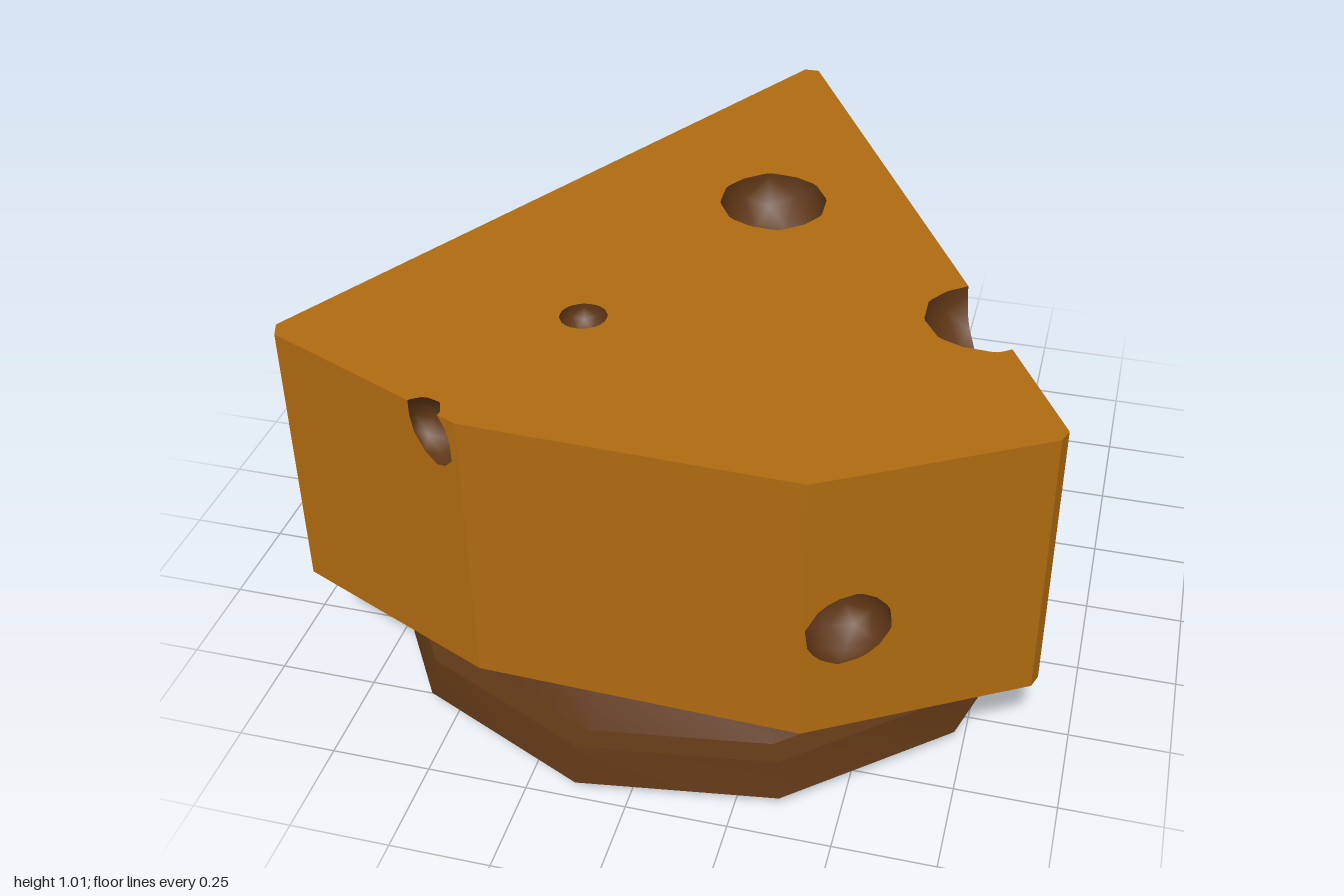
import * as THREE from 'three';
import { toCreasedNormals } from 'three/addons/utils/BufferGeometryUtils.js';

const V = (x, y, z) => new THREE.Vector3(x, y, z);
const BOTTOM = 0.3, TOP = 1.01;

// wedge outline seen from above, as x, z
const OUTLINE = [
  [-0.02, -1], [0.02, -1], [0.912, 0.635], [0.90, 0.67],
  [0.41, 0.955], [-0.37, 0.93], [-0.90, 0.70], [-0.915, 0.66],
];

// holes: centre, radii, tilt about z
const HOLES = [
  { at: [0.07, 1.0, -0.2], size: [0.14, 0.15, 0.155] },                  // large, top
  { at: [-0.235, 1.0, 0.45], size: [0.06, 0.06, 0.058] },                // small, top
  { at: [0.68, 1.0, 0.225], size: [0.15, 0.155, 0.15] },                 // bite in the top edge
  { at: [0.27, 0.52, -0.54], size: [0.15, 0.15, 0.15] },                 // large, +x side
  { at: [0.5, 0.59, 0.90], size: [0.105, 0.1, 0.1], tilt: 0.4 },         // front
  { at: [-0.445, 0.955, 0.895], size: [0.055, 0.095, 0.06], tilt: 0.45 }, // front top edge
  { at: [-0.744, 0.585, 0.35], size: [0.148, 0.148, 0.148] },            // large, -x side
  { at: [-0.169, 0.83, -0.72], size: [0.085, 0.09, 0.085] },             // small, -x side
  { at: [-0.456, 0.31, -0.187], size: [0.06, 0.085, 0.06] },             // bottom edge
];

// part of a convex polygon on one side of a plane (side 1 = in front)
function clip(poly, plane, side) {
  const out = [];
  poly.forEach((a, i) => {
    const b = poly[(i + 1) % poly.length];
    const da = side * plane.distanceToPoint(a), db = side * plane.distanceToPoint(b);
    if (da >= 0) out.push(a);
    if (da * db < 0) out.push(a.clone().lerp(b, da / (da - db)));
  });
  return out.length > 2 ? out : [];
}

const planesOf = (polys) =>
  polys.map((p) => new THREE.Plane().setFromCoplanarPoints(p[0], p[1], p[2]));

// convex polygon minus a convex solid, as convex pieces
function subtract(poly, planes) {
  const pieces = [];
  let rest = poly;
  for (const plane of planes) {
    const outside = clip(rest, plane, 1);
    if (outside.length) pieces.push(outside);
    rest = clip(rest, plane, -1);
    if (!rest.length) return [poly];
  }
  return pieces;
}

// fan triangles of all polygons
function toGeometry(polys) {
  const points = [];
  for (const p of polys)
    for (let i = 1; i < p.length - 1; i++) points.push(p[0], p[i], p[i + 1]);
  const geometry = new THREE.BufferGeometry().setFromPoints(points);
  geometry.computeVertexNormals();
  return geometry;
}

// faceted ball as triangles
function ballFaces({ at, size, tilt = 0 }) {
  const g = new THREE.IcosahedronGeometry(1, 1);
  g.scale(...size).rotateY(0.3).rotateZ(tilt).translate(...at);
  const pos = g.attributes.position, faces = [];
  for (let i = 0; i < pos.count; i += 3)
    faces.push([0, 1, 2].map((k) => V().fromBufferAttribute(pos, i + k)));
  return faces;
}

function wedgeFaces() {
  const low = OUTLINE.map(([x, z]) => V(x, BOTTOM, z));
  const high = OUTLINE.map(([x, z]) => V(x, TOP, z));
  const sides = low.map((a, i) => {
    const j = (i + 1) % low.length;
    return [a, high[i], high[j], low[j]];
  });
  return [low, [...high].reverse(), ...sides];
}

export function createModel() {
  const model = new THREE.Group();
  model.name = 'cheeseOnStand';
  const cheese = new THREE.MeshStandardMaterial({ name: 'cheese', color: 0xb06a10 });
  const brown = new THREE.MeshStandardMaterial({ name: 'darkBrown', color: 0x5f3716 });
  const add = (name, geometry, material) => {
    const mesh = new THREE.Mesh(geometry, material);
    mesh.name = name;
    model.add(mesh);
    return mesh;
  };

  // eleven-sided stand with a shallow cone underneath
  const profile = [
    [0, 0], [0.865, 0.05], [0.845, 0.15], [0.785, 0.15], [0.715, 0.298], [0, 0.298],
  ].map(([r, y]) => new THREE.Vector2(r, y));
  const lathe = new THREE.LatheGeometry(profile, 11, Math.PI / 2);
  add('stand', toCreasedNormals(lathe, 0.6), brown).position.z = 0.143;

  // wedge with the holes cut out, and the hollow of each hole
  const solid = wedgeFaces();
  const solidPlanes = planesOf(solid);
  let skin = solid;
  HOLES.forEach((hole, n) => {
    const ball = ballFaces(hole);
    const ballPlanes = planesOf(ball);
    skin = skin.flatMap((poly) => subtract(poly, ballPlanes));

    const hollow = ball
      .map((tri) => solidPlanes.reduce((p, plane) => clip(p, plane, -1), tri).reverse())
      .filter((p) => p.length);
    const geometry = toGeometry(hollow);
    const { position, normal } = geometry.attributes;
    const centre = V(...hole.at), v = V();
    for (let i = 0; i < position.count; i++) {
      v.fromBufferAttribute(position, i).sub(centre).normalize().negate();
      normal.setXYZ(i, v.x, v.y, v.z);
    }
    add(`hole${n + 1}`, geometry, brown);
  });
  add('cheeseWedge', toGeometry(skin), cheese);

  return model;
}
